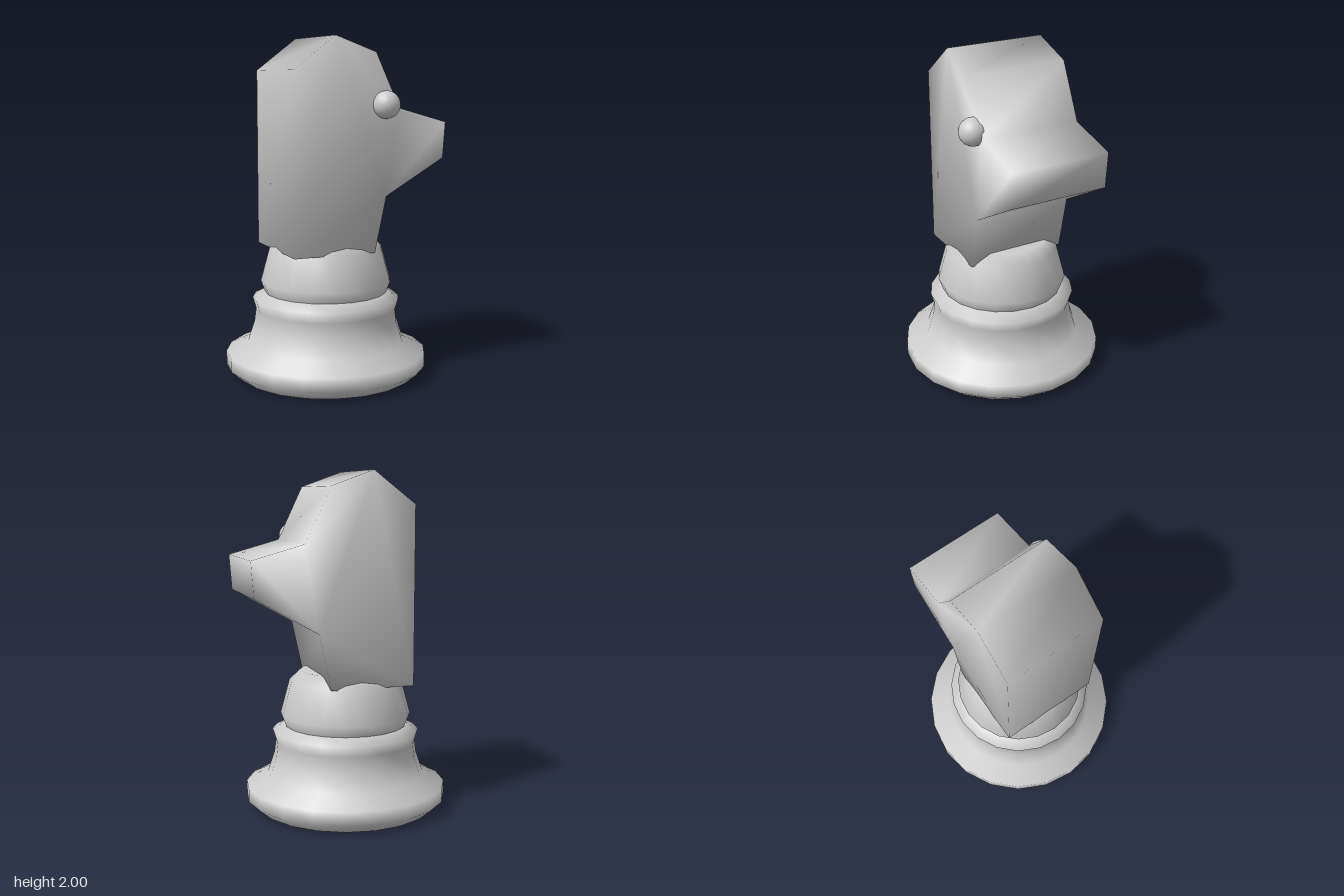
import * as THREE from 'three';
import { mergeVertices } from 'three/addons/utils/BufferGeometryUtils.js';

const AXIS_X = -0.02; // the turned base sits slightly off centre under the head
const HALF_DEPTH = 0.3;

function addPart(group, name, geometry, x = 0, y = 0, z = 0) {
  const mesh = new THREE.Mesh(geometry, new THREE.MeshStandardMaterial({ color: 0xcccccc }));
  mesh.name = name;
  mesh.position.set(x, y, z);
  group.add(mesh);
}

// 20-sided turned part from [radius, height] pairs, bottom to top
const turned = (profile) =>
  new THREE.LatheGeometry(profile.map(([r, y]) => new THREE.Vector2(r, y)), 20);

// Flat outline extruded through z, with normals blended over every edge
function smoothSlab(outline, halfDepth) {
  const shape = new THREE.Shape(outline.map(([x, y]) => new THREE.Vector2(x, y)));
  const slab = new THREE.ExtrudeGeometry(shape, { depth: halfDepth * 2, bevelEnabled: false });
  slab.translate(0, 0, -halfDepth);
  slab.deleteAttribute('normal');
  slab.deleteAttribute('uv');
  const merged = mergeVertices(slab, 1e-4);
  merged.computeVertexNormals();
  return merged;
}

export function createModel() {
  const model = new THREE.Group();
  model.name = 'chessKnight';

  // Foot, flared stem and collar ring
  addPart(model, 'pedestal', turned([
    [0, 0], [0.53, 0], [0.6, 0.06], [0.6, 0.14], [0.47, 0.2],
    [0.43, 0.32], [0.42, 0.4], [0.44, 0.465], [0.365, 0.5],
  ]), AXIS_X);

  // Rounded drum that carries the head
  addPart(model, 'shoulder', turned([
    [0.365, 0.5], [0.39, 0.565], [0.335, 0.77], [0.27, 0.83], [0, 0.83],
  ]), AXIS_X);

  // Horse head: neck, crown, muzzle, jaw and throat, counter-clockwise
  addPart(model, 'head', smoothSlab([
    [-0.34, 0.765], [0.16, 0.765], [0.23, 1.09], [0.6, 1.3], [0.615, 1.51],
    [0.31, 1.595], [0.16, 1.91], [-0.09, 2], [-0.34, 1.81],
  ], HALF_DEPTH));

  // Single eye on the front face
  addPart(model, 'eye', new THREE.SphereGeometry(0.08, 20, 14), 0.22, 1.615, 0.313);

  return model;
}
